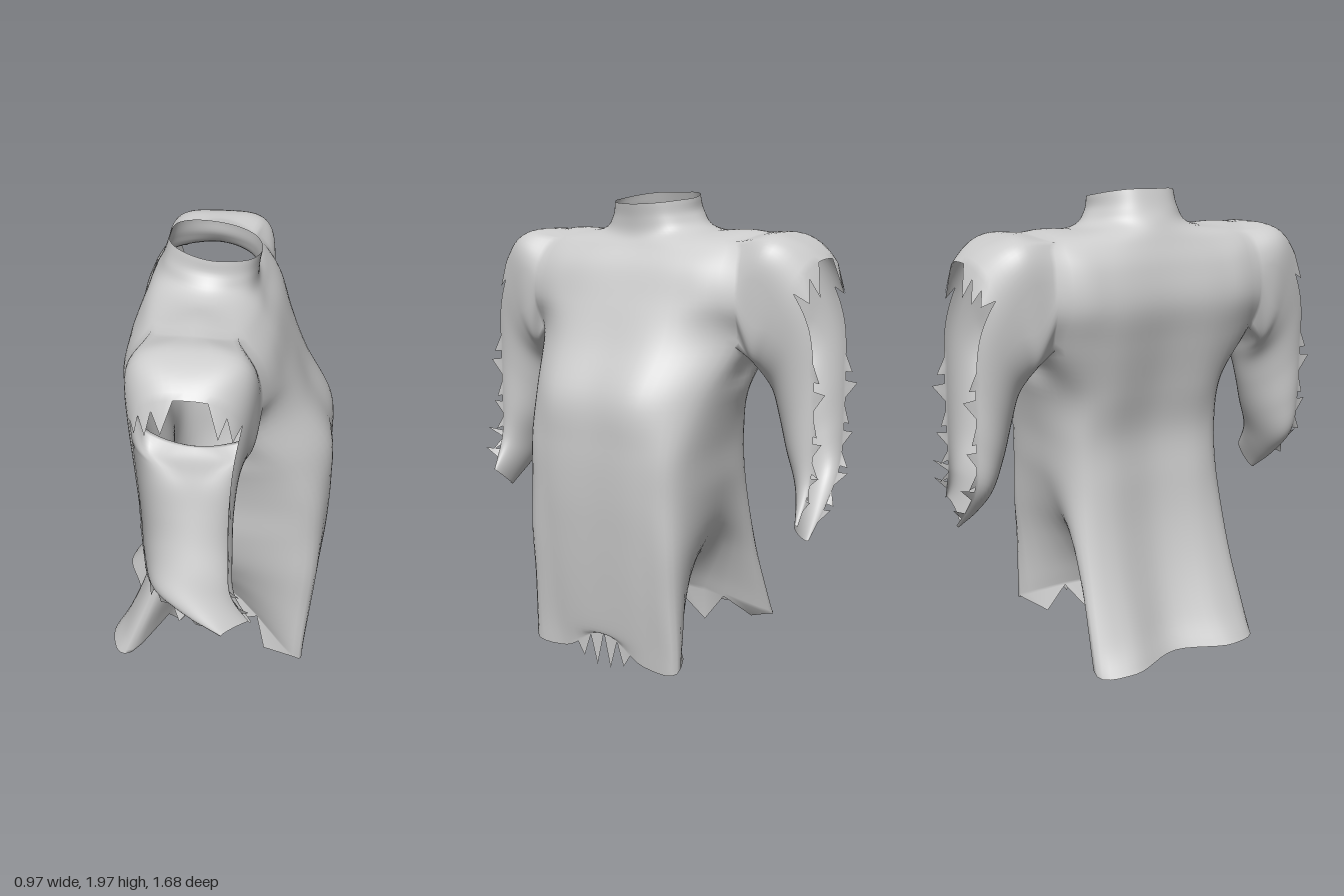
import * as THREE from 'three';
import { mergeVertices } from 'three/addons/utils/BufferGeometryUtils.js';

const K = 6; // subdivisions between control points
const V = (x, y, z) => new THREE.Vector3(x, y, z);
const smooth = (pts, closed) => {
  const curve = new THREE.CatmullRomCurve3(pts, closed, 'catmullrom', 0.5);
  const n = (closed ? pts.length : pts.length - 1) * K;
  return Array.from({ length: closed ? n : n + 1 }, (_, i) => curve.getPoint(i / n));
};
// interpolate rings of equal length along the loft: result[row][column]
const loft = (rings) => {
  const cols = rings[0].map((_, c) => smooth(rings.map((r) => r[c]), false));
  return cols[0].map((_, r) => cols.map((col) => col[r]));
};
// half outline (front centre, round the +z side, back centre) mirrored to a loop
const outline = (half) => {
  const p = half.map((a) => V(...a));
  const other = p.slice(1, -1).reverse().map((v) => V(v.x, v.y, -v.z));
  return smooth([...p, ...other], true);
};

// collar, top to bottom
const collar = [
  [[.16, 1.95, 0], [.13, 1.955, .1], [.06, 1.965, .155], [-.03, 1.975, .175], [-.12, 1.99, .15], [-.18, 2, .09], [-.195, 2, 0]],
  [[.15, 1.89, 0], [.125, 1.895, .11], [.06, 1.9, .17], [-.03, 1.91, .19], [-.13, 1.92, .165], [-.2, 1.93, .1], [-.22, 1.93, 0]],
  [[.15, 1.83, 0], [.13, 1.835, .14], [.06, 1.845, .23], [-.04, 1.85, .27], [-.15, 1.855, .22], [-.225, 1.865, .12], [-.25, 1.87, 0]],
];
// shoulders and chest, down to the armpit
const yoke = [
  [[.175, 1.78, 0], [.17, 1.785, .21], [.1, 1.805, .43], [-.05, 1.843, .5], [-.21, 1.815, .43], [-.27, 1.8, .21], [-.28, 1.8, 0]],
  [[.235, 1.7, 0], [.23, 1.7, .25], [.175, 1.7, .48], [-.05, 1.72, 1], [-.275, 1.72, .47], [-.32, 1.7, .25], [-.315, 1.7, 0]],
  [[.295, 1.56, 0], [.28, 1.56, .25], [.2, 1.56, .49], [-.05, 1.52, 1], [-.3, 1.56, .48], [-.345, 1.56, .25], [-.335, 1.56, 0]],
  [[.36, 1.4, 0], [.34, 1.4, .25], [.16, 1.405, .475], [-.05, 1.37, .505], [-.245, 1.41, .465], [-.315, 1.4, .25], [-.3, 1.4, 0]],
];
// y, front x, front corner x z, side x y z, back corner x z, back bulge x, back centre x
const trunk = [
  [1.2, .46, .3, .4, .03, 1.2, .435, -.19, .365, -.27, -.25],
  [1.0, .478, .38, .37, .08, 1.0, .395, -.16, .355, -.23, -.21],
  [.8, .475, .39, .365, .06, .81, .38, -.17, .36, -.245, -.22],
  [.6, .46, .39, .37, .02, .63, .335, -.21, .37, -.275, -.24],
  [.4, .44, .375, .365, -.02, .49, .25, -.27, .375, -.33, -.28],
  [.2, .415, .365, .365, -.03, .36, .15, -.34, .385, -.41, -.34],
].map(([y, f, cx, cz, sx, sy, sz, bx, bz, bm, b]) => [
  [f, y, 0], [f - .005, y, .22], [cx, y, cz], [sx, sy, sz], [bx, y, bz], [bm, y, .23], [b, y, 0]]);
const hem = [[.395, .18, 0], [.395, .075, .2], [.365, .1, .365], [-.03, .265, .09], [-.38, .08, .39], [-.485, .07, .25], [-.4, .07, 0]];

// sleeve rings: inner y z, outer y z, centre x, half width, tilt along x, roundness
const sleeveRings = [
  [1.325, .53, 1.838, .61, -.053, .238, 0, .5],
  [1.265, .547, 1.765, .745, -.055, .215, 0, .75],
  [1.2, .568, 1.6, .85, -.057, .188, 0, .95],
  [1.1, .595, 1.36, .87, -.057, .172, 0, 1],
  [.98, .632, 1.11, .86, -.055, .168, 0, 1],
  [.86, .68, .93, .84, -.04, .155, .1, 1],
  [.77, .715, .81, .82, .03, .105, .4, 1],
  [.68, .755, .69, .79, .13, .06, .8, 1],
];

export function createModel() {
  const pos = [];
  const counts = [];
  const tri = (a, b, c, flip) => {
    for (const v of flip ? [a, c, b] : [a, b, c]) pos.push(v.x, v.y, v.z);
  };
  const skin = (g, wrap, keep, flip) => {
    for (let r = 0; r < g.length - 1; r++) {
      for (let c = 0; c < wrap; c++) {
        if (!keep(r, c)) continue;
        const d = (c + 1) % wrap;
        tri(g[r][c], g[r][d], g[r + 1][c], flip);
        tri(g[r][d], g[r + 1][d], g[r + 1][c], flip);
      }
    }
  };
  // pointed rag: a fan from a run of edge points to one tip
  const rag = (edge, dir, flip) => {
    const tip = edge[0].clone().lerp(edge[edge.length - 1], .5).add(dir);
    for (let i = 0; i < edge.length - 1; i++) tri(edge[i], edge[i + 1], tip, flip);
  };

  // body, open at neck, hem and armholes
  const body = loft([...collar, ...yoke, ...trunk, hem].map(outline));
  const W = body[0].length;
  const top = 3 * K, pit = 6 * K, front = 2 * K, back = 4 * K;
  skin(body, W, (r, c) => {
    const m = c < W / 2 ? c : W - 1 - c;
    return !(r >= top && r < pit && m >= front && m < back);
  });

  // ragged hem: long strips on the front and both sides
  const last = body[body.length - 1];
  const hemRag = (c, step, drop, lean) => {
    const edge = Array.from({ length: step + 1 }, (_, i) => last[(c + i + W) % W]);
    rag(edge, V(lean, -drop, 0));
  };
  for (let c = -4; c < 4; c += 2) hemRag(c, 2, c === -2 || c === 0 ? .14 : .08, 0);
  [.08, .14, .15, .07].forEach((drop, i) => {
    const c = front + 3 * i;
    hemRag(c, 3, drop, -.05);
    hemRag(W - c - 3, 3, drop, -.05);
  });
  counts.push(pos.length / 3);

  // armhole loop from the armpit, up the back, over the shoulder, down the front
  const hole = [];
  for (let c = 3 * K; c <= back; c++) hole.push(body[pit][c]);
  for (let r = pit - 1; r >= top; r--) hole.push(body[r][back]);
  for (let c = back - 1; c >= front; c--) hole.push(body[top][c]);
  for (let r = top + 1; r <= pit; r++) hole.push(body[r][front]);
  for (let c = front + 1; c < 3 * K; c++) hole.push(body[pit][c]);

  // sleeves: a shoulder cap, then a channel torn open along the outside
  const N = hole.length;
  const rings = sleeveRings.map(([iy, iz, oy, oz, cx, hx, tilt, power]) => hole.map((_, i) => {
    const a = (2 * Math.PI * i) / N;
    const round = (t) => Math.sign(t) * Math.abs(t) ** power;
    const out = (1 - round(Math.cos(a))) / 2;
    const dx = -hx * round(Math.sin(a));
    return V(cx + dx, iy + (oy - iy) * out + tilt * dx, iz + (oz - iz) * out);
  }));
  const sleeve = loft([hole, ...rings]);
  const cut = 19, cap = 2 * K + 1;
  for (const side of [1, -1]) {
    const g = sleeve.map((row) => row.map((v) => V(v.x, v.y, v.z * side)));
    const flip = side > 0;
    skin(g, N, (r, c) => r < cap || c < cut || c >= N - cut, flip);
    // torn flaps under the cap: first column, width, length
    for (const [c, w, len] of [[cut, 4, .06], [22, 4, .1], [25, 4, .11], [33, 4, .11], [36, 5, .08]]) {
      rag(g[cap].slice(c, c + w + 1), V(0, -len, side * .035), flip);
    }
    // rags along both torn edges
    for (let r = 22, n = 0; r < sleeve.length - 3; r += 3, n++) {
      const rows = g.slice(r, r + 3);
      const dir = V(0, n % 2 ? .03 : -.035, side * [.03, .05, .02, .04][n % 4]);
      rag(rows.map((row) => row[cut]), dir, !flip);
      dir.x = r > 34 ? .04 : .01;
      rag(rows.map((row) => row[N - cut]), dir, flip);
    }
    counts.push(pos.length / 3);
  }

  // weld everything so shading runs smoothly across the seams
  let whole = new THREE.BufferGeometry();
  whole.setAttribute('position', new THREE.Float32BufferAttribute(pos, 3));
  whole = mergeVertices(whole, 1e-5);
  whole.computeVertexNormals();

  const material = new THREE.MeshStandardMaterial({ color: 0xcccccc, side: THREE.DoubleSide });
  const group = new THREE.Group();
  group.name = 'tornShirt';
  const index = Array.from(whole.index.array);
  ['shirtBody', 'leftSleeve', 'rightSleeve'].forEach((name, i) => {
    const part = new THREE.BufferGeometry();
    part.setAttribute('position', whole.attributes.position);
    part.setAttribute('normal', whole.attributes.normal);
    part.setIndex(index.slice(i ? counts[i - 1] : 0, counts[i]));
    const mesh = new THREE.Mesh(part, material);
    mesh.name = name;
    group.add(mesh);
  });
  return group;
}
